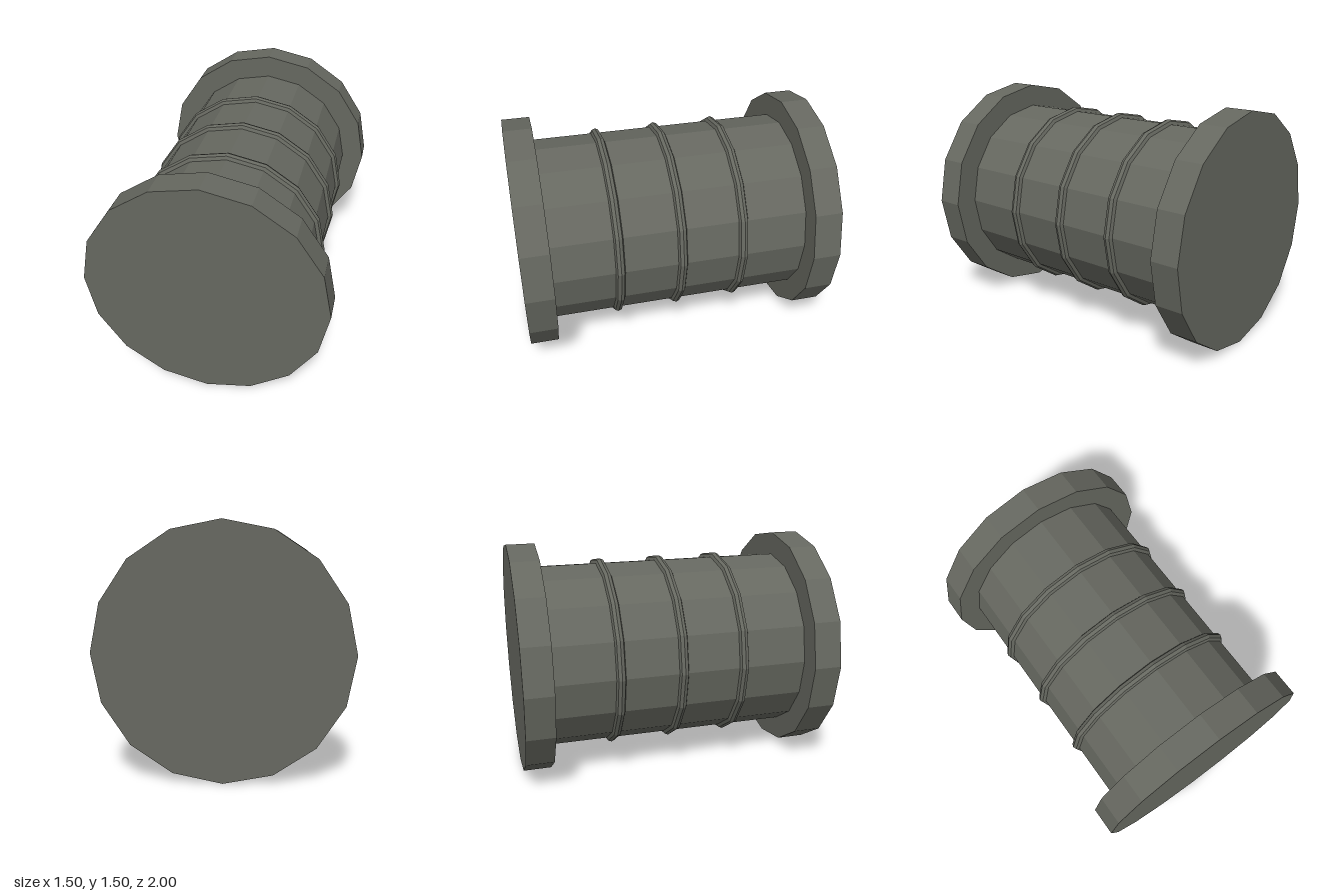
import * as THREE from 'three';

const SIDES = 16;
const CENTRE_Y = 0.75;

export function createModel() {
  const model = new THREE.Group();
  model.name = 'flangedDrum';
  const metal = new THREE.MeshStandardMaterial({ color: 0x666860 });
  metal.name = 'dull grey green metal';

  const add = (name, geometry, z) => {
    // Unshared vertices give each facet its own flat normal
    const flat = geometry.toNonIndexed();
    flat.computeVertexNormals();
    const mesh = new THREE.Mesh(flat, metal);
    mesh.name = name;
    mesh.position.set(0, CENTRE_Y, z);
    model.add(mesh);
  };

  // Cylinder lying along z
  const drum = (radius, length, open = false) =>
    new THREE.CylinderGeometry(radius, radius, length, SIDES, 1, open).rotateX(Math.PI / 2);

  // Body between the flanges
  add('body', drum(0.6, 1.65, true), 0);

  // Wide end flanges
  add('frontFlange', drum(0.75, 0.18), 0.91);
  add('backFlange', drum(0.75, 0.18), -0.91);

  // Three raised ribs around the body
  ['backRib', 'middleRib', 'frontRib'].forEach((name, i) => {
    add(name, new THREE.TorusGeometry(0.6, 0.03, 8, SIDES), (i - 1) * 0.4);
  });

  return model;
}
